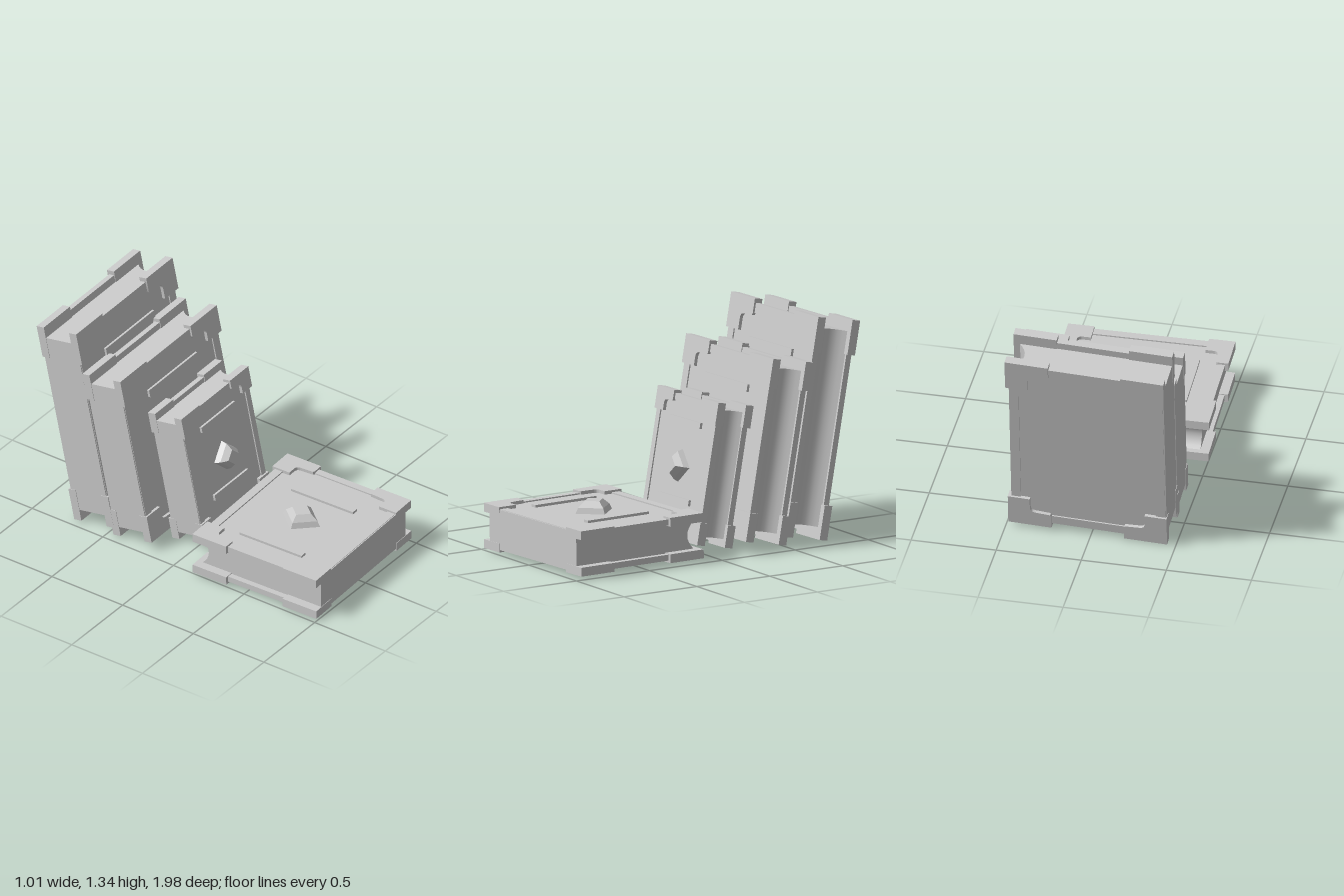
import * as THREE from 'three';
import { toCreasedNormals } from 'three/addons/utils/BufferGeometryUtils.js';

const grey = new THREE.MeshStandardMaterial({ color: 0xcacaca });
grey.name = 'light grey';

function add(group, name, geometry, x = 0, y = 0, z = 0) {
  const mesh = new THREE.Mesh(geometry, grey);
  mesh.name = name;
  mesh.position.set(x, y, z);
  group.add(mesh);
  return mesh;
}

function extrude(shape, depth) {
  const g = new THREE.ExtrudeGeometry(shape, { depth, bevelEnabled: false, curveSegments: 8 });
  return toCreasedNormals(g, 0.5);
}

function rectangle(path, x0, y0, x1, y1) {
  path.moveTo(x0, y0);
  path.lineTo(x1, y0);
  path.lineTo(x1, y1);
  path.lineTo(x0, y1);
  path.closePath();
  return path;
}

// L-shaped corner plate with a rounded inner step; sx and sy pick the corner
function cornerShape(w, h, sx, sy) {
  const X = (f) => sx * w * (0.5 - f);
  const Y = (f) => sy * h * (0.5 - f);
  const s = new THREE.Shape();
  s.moveTo(X(0), Y(0));
  s.lineTo(X(0.272), Y(0));
  s.lineTo(X(0.272), Y(0.066));
  s.lineTo(X(0.265), Y(0.076));
  s.lineTo(X(0.175), Y(0.08));
  s.quadraticCurveTo(X(0.138), Y(0.08), X(0.138), Y(0.11));
  s.lineTo(X(0.138), Y(0.158));
  s.lineTo(X(0), Y(0.158));
  s.closePath();
  return s;
}

// Four-sided tier of the gem, pointing along +z
function gemTier(rBottom, rTop, depth, w, h) {
  const g = new THREE.CylinderGeometry(rTop, rBottom, depth, 4, 1).toNonIndexed();
  g.rotateX(Math.PI / 2);
  g.scale(0.15 * w, 0.115 * h, 1);
  g.computeVertexNormals();
  return g;
}

// Upright book: spine on -x, page edge on +x, front cover on +z
function createBook(name, w, h, t) {
  const book = new THREE.Group();
  book.name = name;
  const inner = t / 2 - 0.047;
  const face = t / 2 - 0.012;

  // Page block with a hollow fore-edge
  const section = new THREE.Shape();
  const edge = w * 0.465;
  section.moveTo(-w * 0.47, -inner);
  section.lineTo(edge, -inner);
  section.quadraticCurveTo(edge - w * 0.11, 0, edge, inner);
  section.lineTo(-w * 0.47, inner);
  section.closePath();
  const pages = extrude(section, h * 0.89);
  pages.rotateX(-Math.PI / 2);
  add(book, 'pages', pages, 0, -h * 0.445, 0);

  // Flat spine
  add(book, 'spine', new THREE.BoxGeometry(w * 0.04, h * 0.89, 2 * face - 0.006), -w * 0.477, 0, 0);

  // Both covers: recessed panel, raised rim and four corner plates
  const x0 = -w * 0.49, x1 = w * 0.48, y1 = h * 0.48;
  for (const side of [1, -1]) {
    const label = side > 0 ? 'front' : 'back';
    const place = (depth, outer) => (side > 0 ? outer - depth : -outer);
    const panelDepth = face - 0.008 - inner;
    add(book, label + 'Panel', new THREE.BoxGeometry(w * 0.93, h * 0.92, panelDepth),
      -w * 0.005, 0, side * (inner + panelDepth / 2));
    const rim = rectangle(new THREE.Shape(), x0, -y1, x1, y1);
    rim.holes.push(rectangle(new THREE.Path(), -w * 0.43, -h * 0.435, w * 0.42, h * 0.435));
    const rimDepth = face - inner;
    add(book, label + 'Rim', extrude(rim, rimDepth), 0, 0, place(rimDepth, face));
    for (const sx of [1, -1]) for (const sy of [1, -1]) {
      add(book, label + 'Corner', extrude(cornerShape(w, h, sx, sy), 0.052), 0, 0, place(0.052, t / 2));
    }
  }

  // Raised bars on the front cover
  for (const y of [0.306, -0.235]) {
    add(book, 'frontBar', new THREE.BoxGeometry(w * 0.5, h * 0.042, 0.03), 0, y * h, face - 0.008);
  }

  // Faceted gem
  const base = face - 0.01;
  add(book, 'gemBase', gemTier(1, 0.85, 0.035, w, h), 0, 0, base + 0.0175);
  add(book, 'gemTop', gemTier(0.85, 0.5, 0.035, w, h), 0, 0, base + 0.0525);
  return book;
}

export function createModel() {
  const model = new THREE.Group();
  model.name = 'books';

  // Three leaning books: name, width, height, thickness, x, y, z
  const leaning = [
    ['smallBook', 0.65, 0.832, 0.243, 0.03, 0.452, -0.12],
    ['mediumBook', 0.935, 1.068, 0.278, 0.002, 0.571, -0.42],
    ['largeBook', 0.935, 1.284, 0.288, 0.002, 0.6725, -0.715],
  ];
  for (const [name, w, h, t, x, y, z] of leaning) {
    const book = createBook(name, w, h, t);
    book.position.set(x, y, z);
    book.rotation.set(-0.192, -0.016, 0.026, 'YXZ');
    model.add(book);
  }

  // Book lying flat with its spine to the front
  const flat = createBook('flatBook', 0.857, 0.978, 0.266);
  flat.position.set(-0.004, 0.152, 0.5525);
  flat.rotation.set(-Math.PI / 2 - 0.01, Math.PI / 2 + 0.031, 0, 'YXZ');
  model.add(flat);

  return model;
}
